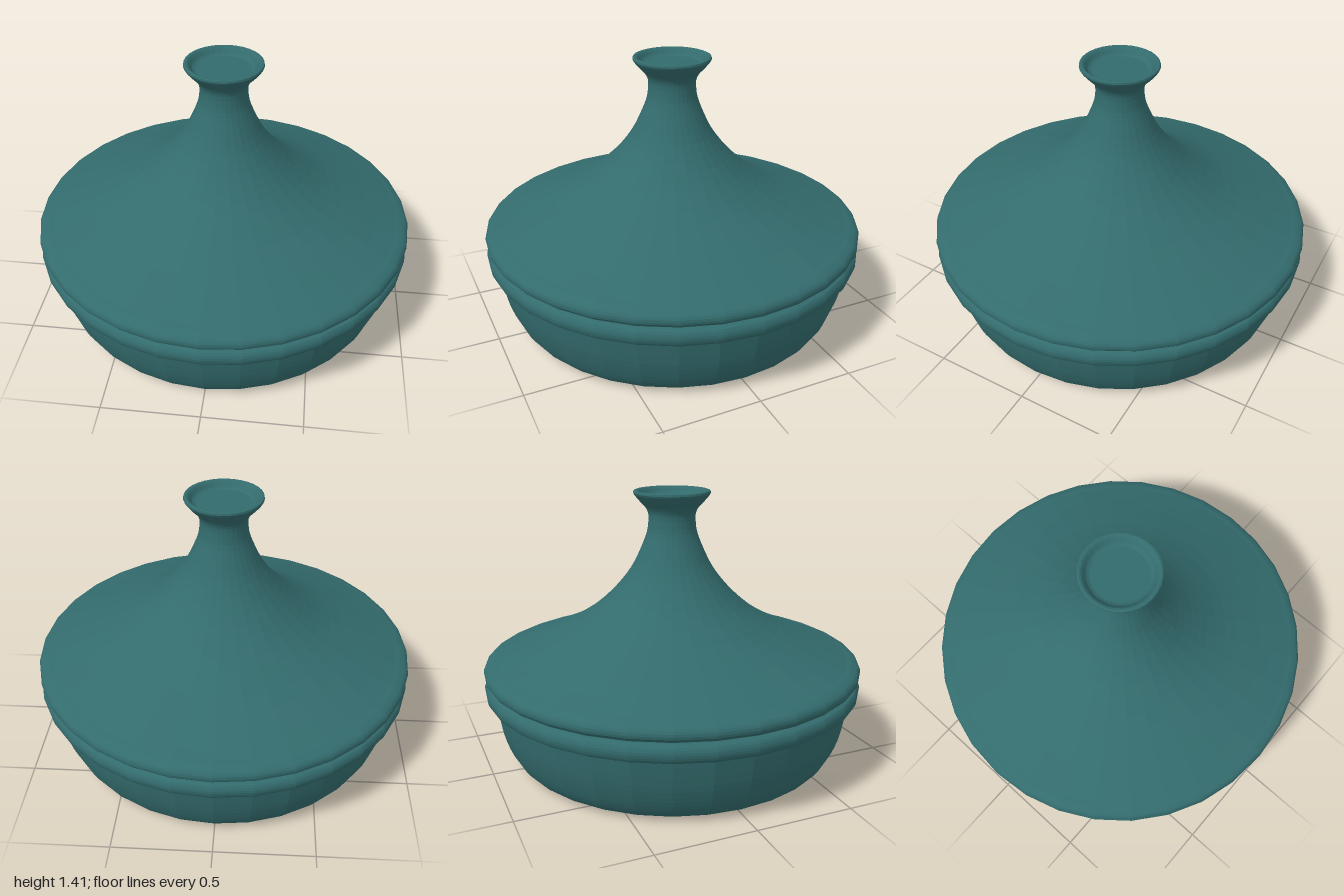
import * as THREE from 'three';

const SIDES = 32;
const glaze = new THREE.MeshStandardMaterial({ color: 0x336b6d, flatShading: true });
glaze.name = 'teal glaze';

const toPoints = (list) => list.map(([r, y]) => new THREE.Vector2(r, y));

// Smooth run of profile points through a few control points
const smooth = (list, divisions) => new THREE.SplineCurve(toPoints(list)).getPoints(divisions);

// Turned part; the profile runs from bottom to top
function turned(name, profile) {
  const mesh = new THREE.Mesh(new THREE.LatheGeometry(profile, SIDES), glaze);
  mesh.name = name;
  return mesh;
}

export function createModel() {
  const model = new THREE.Group();
  model.name = 'taginePot';

  // Bowl: flat base, rounded foot and flaring wall
  model.add(turned('bowl', [
    ...toPoints([[0, 0], [0.79, 0]]),
    ...smooth([[0.8, 0.003], [0.845, 0.025], [0.88, 0.07], [0.91, 0.14], [0.935, 0.23], [0.955, 0.36]], 14),
  ]));

  // Rounded rim around the bowl
  model.add(turned('bowlRim', [
    ...toPoints([[0.94, 0.355]]),
    ...smooth([[0.97, 0.355], [0.99, 0.366], [1, 0.39], [1, 0.415], [0.988, 0.438], [0.965, 0.447]], 10),
    ...toPoints([[0, 0.447]]),
  ]));

  // Recessed seat between bowl and lid
  const seat = new THREE.Mesh(new THREE.CylinderGeometry(0.955, 0.955, 0.03, SIDES, 1, true), glaze);
  seat.name = 'lidSeat';
  seat.position.y = 0.453;
  model.add(seat);

  // Lid: rounded edge, concave cone and slim neck
  model.add(turned('lid', [
    ...toPoints([[0, 0.457], [0.965, 0.457]]),
    ...smooth([[0.985, 0.462], [1, 0.48], [1, 0.505], [0.985, 0.525], [0.955, 0.54]], 8),
    ...smooth([[0.93, 0.547], [0.77, 0.607], [0.57, 0.695], [0.42, 0.79], [0.305, 0.895],
      [0.215, 1.01], [0.16, 1.12], [0.13, 1.2], [0.122, 1.26]], 24),
  ]));

  // Flared knob with a dished top
  model.add(turned('knob', [
    ...smooth([[0.122, 1.26], [0.124, 1.295], [0.14, 1.328], [0.17, 1.36], [0.195, 1.39]], 10),
    ...toPoints([[0.2, 1.4], [0.198, 1.41], [0.19, 1.413], [0.18, 1.41]]),
    ...smooth([[0.17, 1.4], [0.157, 1.383], [0.14, 1.375]], 4),
    ...toPoints([[0, 1.375]]),
  ]));

  return model;
}
